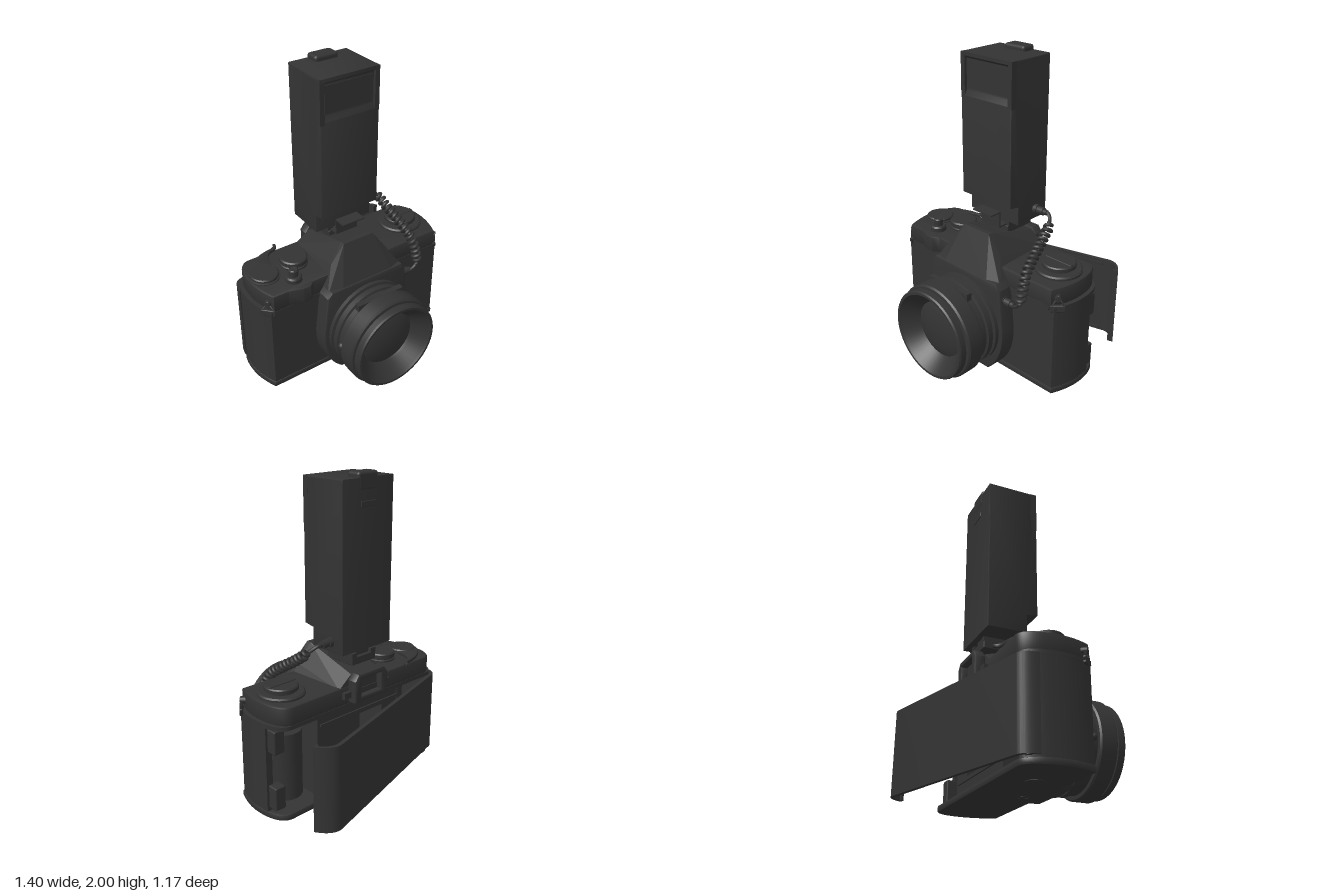
import * as THREE from 'three';
import { toCreasedNormals } from 'three/addons/utils/BufferGeometryUtils.js';
import { RoundedBoxGeometry } from 'three/addons/geometries/RoundedBoxGeometry.js';
import { ConvexGeometry } from 'three/addons/geometries/ConvexGeometry.js';

const V = (x, y, z) => new THREE.Vector3(x, y, z);

export function createModel() {
  const root = new THREE.Group();
  const mat = new THREE.MeshStandardMaterial({ color: 0x333333 });

  const add = (name, geo, x = 0, y = 0, z = 0) => {
    const m = new THREE.Mesh(geo, mat);
    m.name = name;
    m.position.set(x, y, z);
    root.add(m);
    return m;
  };
  // box given by its min and max on each axis, optionally rounded
  const box = (name, x0, x1, y0, y1, z0, z1, r = 0) => {
    const s = [x1 - x0, y1 - y0, z1 - z0];
    const g = r ? new RoundedBoxGeometry(...s, 2, r) : new THREE.BoxGeometry(...s);
    return add(name, g, (x0 + x1) / 2, (y0 + y1) / 2, (z0 + z1) / 2);
  };
  // turned part standing at (x, z); profile is [radius, height] from bottom to top
  const turned = (name, profile, x, z) => add(name, toCreasedNormals(
    new THREE.LatheGeometry(profile.map(p => new THREE.Vector2(...p)), 48), 0.5), x, 0, z);
  const extrude = (shape, depth, b = 0) => {
    const g = new THREE.ExtrudeGeometry(shape, {
      depth: depth - 2 * b, bevelEnabled: b > 0, bevelSize: b, bevelThickness: b,
      bevelOffset: -b, bevelSegments: 2, curveSegments: 16 });
    g.translate(0, 0, b);
    return toCreasedNormals(g, 0.5);
  };
  // plan shapes use (x, -z) and rise from y0 to y1
  const plan = (name, shape, y0, y1, b = 0) =>
    add(name, extrude(shape, y1 - y0, b).rotateX(-Math.PI / 2), 0, y0, 0);
  const poly = pts => new THREE.Shape(pts.map(p => new THREE.Vector2(...p)));

  // ---- body ----
  const outline = k => {
    const s = new THREE.Shape();
    s.moveTo(-0.65 * k, -0.16);
    s.lineTo(0.65 * k, -0.16);
    s.quadraticCurveTo(0.70 * k, -0.05, 0.70 * k, 0.05);
    s.bezierCurveTo(0.70 * k, 0.18, 0.66 * k, 0.26, 0.59 * k, 0.26);
    s.lineTo(-0.59 * k, 0.26);
    s.bezierCurveTo(-0.66 * k, 0.26, -0.70 * k, 0.18, -0.70 * k, 0.05);
    s.quadraticCurveTo(-0.70 * k, -0.05, -0.65 * k, -0.16);
    return s;
  };
  plan('bottomPlate', outline(1), 0, 0.04, 0.008);
  plan('topRim', outline(0.995), 0.59, 0.615);
  plan('topCover', outline(0.96), 0.61, 0.73, 0.012);

  // body walls, open at the back around the film chambers
  const w = new THREE.Shape();
  w.moveTo(-0.645, -0.155);
  w.lineTo(0.645, -0.155);
  w.quadraticCurveTo(0.695, -0.05, 0.695, 0.05);
  [[0.69, 0.14], [0.645, 0.14], [0.635, -0.08], [0.36, -0.08], [0.36, 0.22], [0.2, 0.22],
    [0.2, 0.02], [-0.2, 0.02], [-0.2, 0.22], [-0.33, 0.22], [-0.33, -0.08], [-0.6, -0.08],
    [-0.6, 0.25], [-0.62, 0.255]].forEach(p => w.lineTo(...p));
  w.bezierCurveTo(-0.67, 0.24, -0.695, 0.16, -0.695, 0.05);
  w.quadraticCurveTo(-0.695, -0.05, -0.645, -0.155);
  plan('bodyWalls', w, 0.035, 0.6);
  box('filmGateBottom', -0.3, 0.3, 0.035, 0.14, -0.22, -0.02);
  box('filmGateTop', -0.3, 0.3, 0.49, 0.6, -0.22, -0.02);
  for (const y of [0.11, 0.51]) box('filmRail', -0.34, 0.34, y, y + 0.015, -0.23, -0.21);
  turned('filmCanister', [[0, 0.06], [0.11, 0.06], [0.11, 0.5], [0.04, 0.5], [0.04, 0.6]], 0.49, -0.06);
  turned('takeUpSpool', [[0.09, 0.04], [0.09, 0.1], [0.07, 0.1], [0.07, 0.54], [0.09, 0.54], [0.09, 0.6]], -0.47, -0.06);
  for (const y of [0.06, 0.43]) box('latchBlock', 0.6, 0.675, y, y + 0.15, -0.205, -0.13, 0.008);
  turned('tripodSocket', [[0.024, 0.02], [0.024, -0.002], [0.036, -0.002], [0.036, 0.01]].reverse(), 0, 0.05);
  turned('batteryCover', [[0, -0.003], [0.06, -0.003], [0.06, 0.01]], -0.35, -0.04);

  // ---- mirror box and prism ----
  const mb = new THREE.Shape();
  mb.moveTo(-0.2, 0.015);
  mb.lineTo(0.2, 0.015);
  mb.bezierCurveTo(0.3, 0.1, 0.335, 0.22, 0.33, 0.34);
  mb.lineTo(0.3, 0.62);
  mb.lineTo(0.27, 0.66);
  mb.lineTo(-0.27, 0.66);
  mb.lineTo(-0.3, 0.62);
  mb.lineTo(-0.33, 0.34);
  mb.bezierCurveTo(-0.335, 0.22, -0.3, 0.1, -0.2, 0.015);
  add('mirrorBox', extrude(mb, 0.16, 0.012), 0, 0, 0.1);
  const prismPts = [];
  for (const s of [-1, 1]) prismPts.push(
    V(s * 0.11, 0.905, 0.12), V(s * 0.11, 0.905, 0.15), V(s * 0.19, 0.64, 0.258),
    V(s * 0.3, 0.61, 0.24), V(s * 0.3, 0.61, 0.14), V(s * 0.2, 0.78, 0.14),
    V(s * 0.11, 0.795, -0.25), V(s * 0.215, 0.72, -0.255), V(s * 0.215, 0.61, -0.255));
  add('prismHousing', new ConvexGeometry(prismPts));

  // ---- eyepiece ----
  const ep = poly([[-0.14, 0.63], [0.14, 0.63], [0.14, 0.77], [0.11, 0.81], [-0.11, 0.81], [-0.14, 0.77]]);
  ep.holes.push(new THREE.Path([[-0.085, 0.665], [-0.085, 0.775], [0.085, 0.775], [0.085, 0.665]]
    .map(p => new THREE.Vector2(...p))));
  add('eyepieceFrame', extrude(ep, 0.07, 0.012), 0, 0, -0.322);
  box('eyepieceGlass', -0.1, 0.1, 0.65, 0.79, -0.28, -0.24);
  box('eyepieceRail', -0.195, 0.195, 0.66, 0.7, -0.285, -0.25);

  // ---- lens ----
  const lens = [[0.24, 0.24], [0.3, 0.24], [0.3, 0.285], [0.28, 0.29], [0.28, 0.3], [0.295, 0.305],
    [0.295, 0.34], [0.28, 0.345], [0.28, 0.4], [0.302, 0.402], [0.312, 0.412], [0.312, 0.51],
    [0.302, 0.52], [0.282, 0.522], [0.282, 0.53], [0.295, 0.532], [0.295, 0.57], [0.288, 0.58],
    [0.272, 0.58], [0.262, 0.565], [0.195, 0.49], [0.185, 0.475], [0.18, 0.478], [0.13, 0.492],
    [0.07, 0.502], [0, 0.505]];
  turned('lensBarrel', lens, 0, 0).rotation.x = Math.PI / 2;
  root.children.at(-1).position.y = 0.322;
  box('distanceWindow', -0.17, 0.17, 0.56, 0.607, 0.362, 0.4);
  add('lensButton', new THREE.SphereGeometry(0.025, 16, 10), -0.278, 0.322, 0.372);

  // ---- top controls ----
  turned('rewindBase', [[0.145, 0.72], [0.145, 0.742], [0.135, 0.75], [0, 0.75]], 0.5, -0.06);
  turned('rewindKnob', [[0.09, 0.74], [0.09, 0.76], [0.105, 0.762], [0.105, 0.783], [0.098, 0.79], [0, 0.79]], 0.5, -0.06);
  box('rewindCrank', 0.4, 0.6, 0.785, 0.796, -0.075, -0.045, 0.005);
  turned('speedDial', [[0.09, 0.72], [0.09, 0.74], [0.082, 0.745], [0.082, 0.75], [0.09, 0.754], [0.09, 0.778], [0.082, 0.786], [0, 0.786]], -0.345, -0.07);
  turned('advanceHub', [[0.1, 0.72], [0.1, 0.735], [0.09, 0.738], [0.09, 0.75], [0.084, 0.757], [0, 0.757]], -0.565, -0.055);
  const lever = new THREE.Shape();
  lever.moveTo(-0.65, 0.08);
  lever.bezierCurveTo(-0.62, 0.2, -0.5, 0.25, -0.41, 0.26);
  lever.quadraticCurveTo(-0.37, 0.27, -0.365, 0.3);
  lever.lineTo(-0.353, 0.295);
  lever.bezierCurveTo(-0.35, 0.25, -0.39, 0.24, -0.42, 0.235);
  lever.quadraticCurveTo(-0.49, 0.19, -0.48, 0.04);
  lever.closePath();
  plan('advanceLever', lever, 0.728, 0.75, 0.005);
  turned('shutterCollar', [[0.052, 0.72], [0.052, 0.755], [0.044, 0.765], [0.03, 0.765], [0.03, 0.805], [0.024, 0.812], [0, 0.806]], -0.435, 0.08);
  plan('shutterHousing', poly([[-0.52, -0.1], [-0.52, -0.16], [-0.43, -0.19], [-0.38, -0.19], [-0.34, -0.16], [-0.34, -0.1]]), 0.62, 0.728, 0.006);

  // ---- strap lugs ----
  for (const s of [-1, 1]) {
    const lug = new THREE.Group();
    lug.name = 'strapLug';
    const post = new THREE.Mesh(new THREE.CylinderGeometry(0.018, 0.024, 0.05, 16).rotateX(Math.PI / 2), mat);
    post.position.set(0, 0.04, -0.015);
    const ring = new THREE.Mesh(new THREE.TorusGeometry(0.055, 0.01, 8, 3).rotateZ(Math.PI / 2), mat);
    const pad = new THREE.Mesh(new RoundedBoxGeometry(0.09, 0.045, 0.02, 2, 0.006), mat);
    pad.position.y = -0.025;
    lug.add(post, ring, pad);
    lug.position.set(s * 0.652, 0.63, 0.13);
    lug.rotation.y = s * Math.PI / 4;
    root.add(lug);
  }

  // ---- open back door ----
  const door = new THREE.Shape();
  door.moveTo(-0.69, 0.17);
  door.bezierCurveTo(-0.685, 0.23, -0.665, 0.27, -0.63, 0.28);
  door.lineTo(0.5, 0.583);
  door.bezierCurveTo(0.55, 0.595, 0.6, 0.56, 0.637, 0.495);
  door.lineTo(0.6, 0.485);
  door.lineTo(0.597, 0.5);
  door.lineTo(0.612, 0.505);
  door.bezierCurveTo(0.585, 0.545, 0.55, 0.567, 0.51, 0.56);
  door.lineTo(-0.62, 0.257);
  door.bezierCurveTo(-0.65, 0.245, -0.665, 0.22, -0.67, 0.17);
  door.closePath();
  plan('backDoor', door, 0.05, 0.592);
  // strips following the door's slope, at distance d in front of its inner face
  const strip = (name, x0, x1, y0, y1, d, t) => {
    const at = x => 0.423 + x * 0.268 - d;
    plan(name, poly([[x0, at(x0) - t], [x1, at(x1) - t], [x1, at(x1)], [x0, at(x0)]]), y0, y1);
  };
  for (const y of [0.065, 0.56]) strip('doorLip', -0.58, 0.48, y, y + 0.015, -0.002, 0.012);
  strip('plateSpring', -0.26, 0.17, 0.32, 0.38, 0.008, 0.004);
  strip('springMount', -0.08, -0.02, 0.32, 0.38, -0.004, 0.034);
  strip('pressurePlate', -0.24, 0.155, 0.14, 0.51, 0.026, 0.011);
  add('doorHinge', new THREE.CylinderGeometry(0.018, 0.018, 0.55, 16), -0.66, 0.32, -0.225);

  // ---- accessory shoe and flash foot ----
  box('shoeBase', -0.1, 0.1, 0.845, 0.895, -0.25, -0.03, 0.006);
  box('shoeSupport', -0.08, 0.08, 0.79, 0.86, -0.12, 0.0);
  for (const s of [-1, 1]) box('shoeRail', s * 0.08 - 0.02, s * 0.08 + 0.02, 0.89, 0.92, -0.25, -0.04);
  box('flashFoot', -0.055, 0.055, 0.89, 0.95, -0.23, -0.05);
  const bracket = poly([[-0.1, 1.003], [-0.015, 1.003], [-0.015, 0.905], [0.06, 0.905],
    [0.06, 0.895], [-0.023, 0.895], [-0.023, 0.995], [-0.1, 0.995]]);
  add('footBracket', extrude(bracket, 0.16).rotateY(Math.PI / 2), -0.08);

  // ---- flash unit, profile in (-z, y) swept across x ----
  const flash = poly([[0.012, 0.94], [0.27, 0.94], [0.27, 1.967], [-0.06, 1.967], [-0.06, 1.945],
    [-0.042, 1.93], [-0.042, 1.74], [-0.06, 1.705], [-0.06, 1.072], [0.012, 1.06]]);
  add('flashBody', extrude(flash, 0.41, 0.006).rotateY(Math.PI / 2), -0.207);
  for (const s of [-1, 1]) box('flashCheek', s * 0.19 - 0.0175, s * 0.19 + 0.0135, 1.69, 1.966, 0.02, 0.06);
  box('flashLens', -0.165, 0.165, 1.75, 1.92, 0.03, 0.046);
  box('flashButton', -0.08, 0.08, 1.89, 2, -0.272, -0.175, 0.018);
  box('flashSlot', -0.06, 0.06, 1.8, 1.835, -0.274, -0.26, 0.004);

  // ---- coiled sync cord ----
  const path = new THREE.CatmullRomCurve3([V(0.22, 1.005, -0.17), V(0.31, 1.003, -0.17),
    V(0.355, 0.96, -0.13), V(0.375, 0.9, -0.05), V(0.4, 0.83, 0.06), V(0.42, 0.76, 0.15),
    V(0.435, 0.66, 0.2), V(0.425, 0.57, 0.22), V(0.38, 0.54, 0.22), V(0.29, 0.54, 0.21)]);
  const N = 260, turns = 17, frames = path.computeFrenetFrames(N), wire = [];
  for (let i = 0; i <= N; i++) {
    const t = i / N, r = 0.025 * THREE.MathUtils.smoothstep(t, 0.16, 0.22)
      * (1 - THREE.MathUtils.smoothstep(t, 0.78, 0.84));
    const a = t * turns / 0.66 * Math.PI * 2;
    wire.push(path.getPointAt(t).addScaledVector(frames.normals[i], r * Math.cos(a))
      .addScaledVector(frames.binormals[i], r * Math.sin(a)));
  }
  add('syncCord', new THREE.TubeGeometry(new THREE.CatmullRomCurve3(wire), 640, 0.0115, 8));
  for (const [x, y, z] of [[0.2, 1.005, -0.17], [0.28, 0.54, 0.21]]) {
    const side = (name, r, l, dx) => add(name, new THREE.CylinderGeometry(r, r, l, 20).rotateZ(Math.PI / 2), x + dx, y, z);
    side('cordSocket', 0.031, 0.03, 0.015);
    side('cordPlug', 0.025, 0.05, 0.05);
    side('cordSleeve', 0.017, 0.03, 0.085);
  }
  return root;
}
